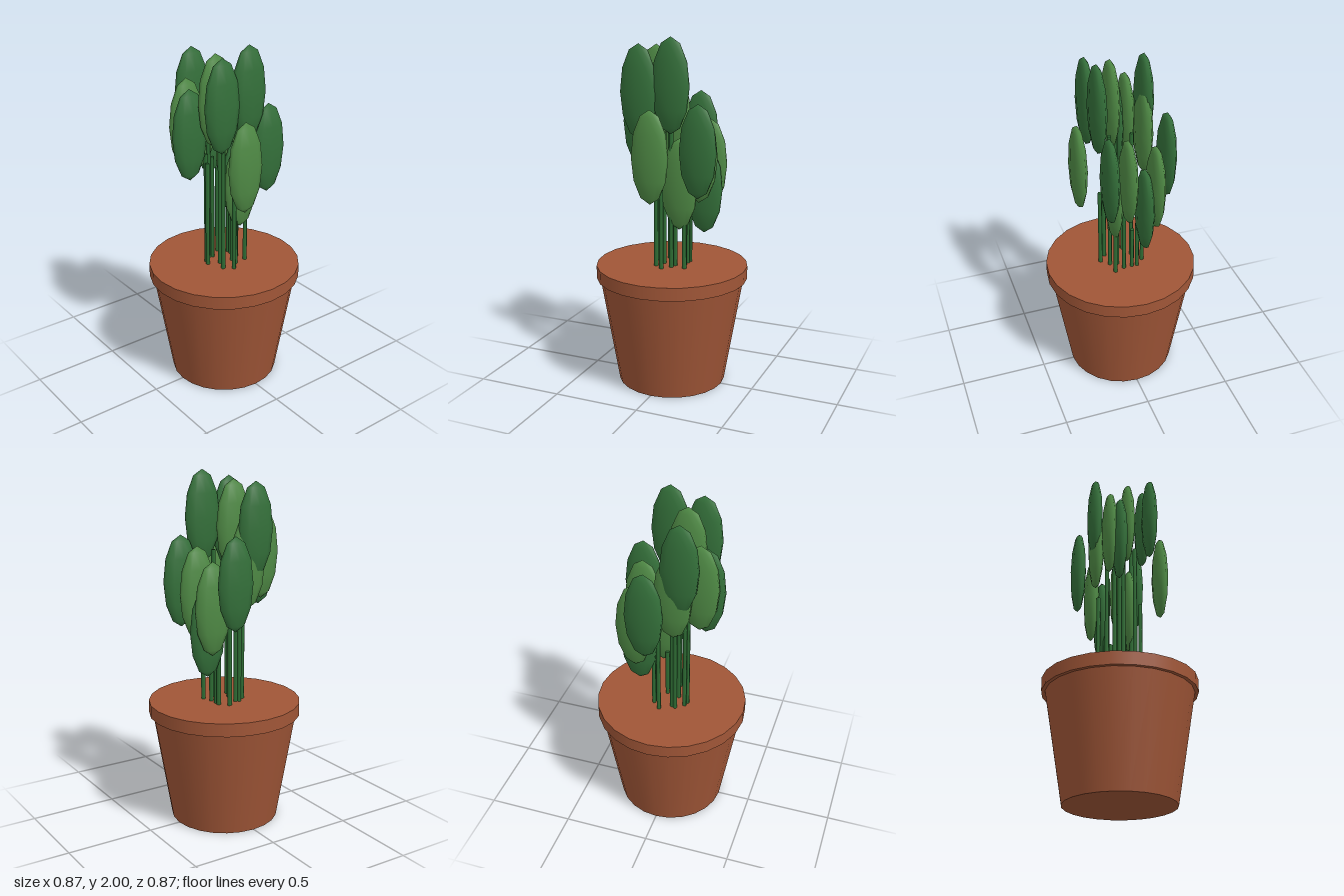
import * as THREE from 'three';

const material = (color) => new THREE.MeshStandardMaterial({ color });

export function createModel() {
  const model = new THREE.Group();
  model.name = 'pottedPlant';

  const clay = material(0xa05637);
  const stemGreen = material(0x2f6e35);
  const darkGreen = material(0x34703a);
  const lightGreen = material(0x4f8a45);

  const add = (parent, name, geometry, mat, x, y, z) => {
    const mesh = new THREE.Mesh(geometry, mat);
    mesh.name = name;
    mesh.position.set(x, y, z);
    parent.add(mesh);
    return mesh;
  };

  // Tapered pot with a closed rim on top
  add(model, 'pot', new THREE.CylinderGeometry(0.42, 0.31, 0.66, 24), clay, 0, 0.33, 0);
  add(model, 'rim', new THREE.CylinderGeometry(0.435, 0.435, 0.075, 24), clay, 0, 0.6625, 0);

  // Flattened oval leaf, its ridge facing front and back
  const leafGeometry = new THREE.SphereGeometry(1, 10, 6);
  leafGeometry.rotateY(Math.PI / 2);
  leafGeometry.scale(0.11, 0.26, 0.045);

  // Leaf centres: x, y, z, light
  const leaves = [
    [0.053, 1.74, 0.145, false],
    [-0.13, 1.70, 0.155, false],
    [-0.08, 1.69, 0.03, true],
    [-0.095, 1.69, -0.165, false],
    [-0.055, 1.51, -0.15, true],
    [-0.185, 1.55, -0.09, true],
    [-0.205, 1.505, -0.035, false],
    [0.08, 1.415, -0.237, false],
    [-0.033, 1.36, 0.232, true],
    [0.205, 1.39, 0.128, false],
    [0.168, 1.34, 0.013, true],
    [0.167, 1.275, -0.145, true],
    [0.163, 1.14, -0.085, false],
    [0.07, 1.185, 0.062, true],
  ];

  // Upright stems stand at half the leaf's distance from the middle
  const stemBottom = 0.6;
  for (const [x, y, z, light] of leaves) {
    const sprig = new THREE.Group();
    sprig.name = 'sprig';
    const height = y - 0.18 - stemBottom;
    add(sprig, 'stem', new THREE.CylinderGeometry(0.012, 0.012, height, 6), stemGreen,
      x / 2, stemBottom + height / 2, z / 2);
    add(sprig, 'leaf', leafGeometry, light ? lightGreen : darkGreen, x, y, z);
    model.add(sprig);
  }
  return model;
}
